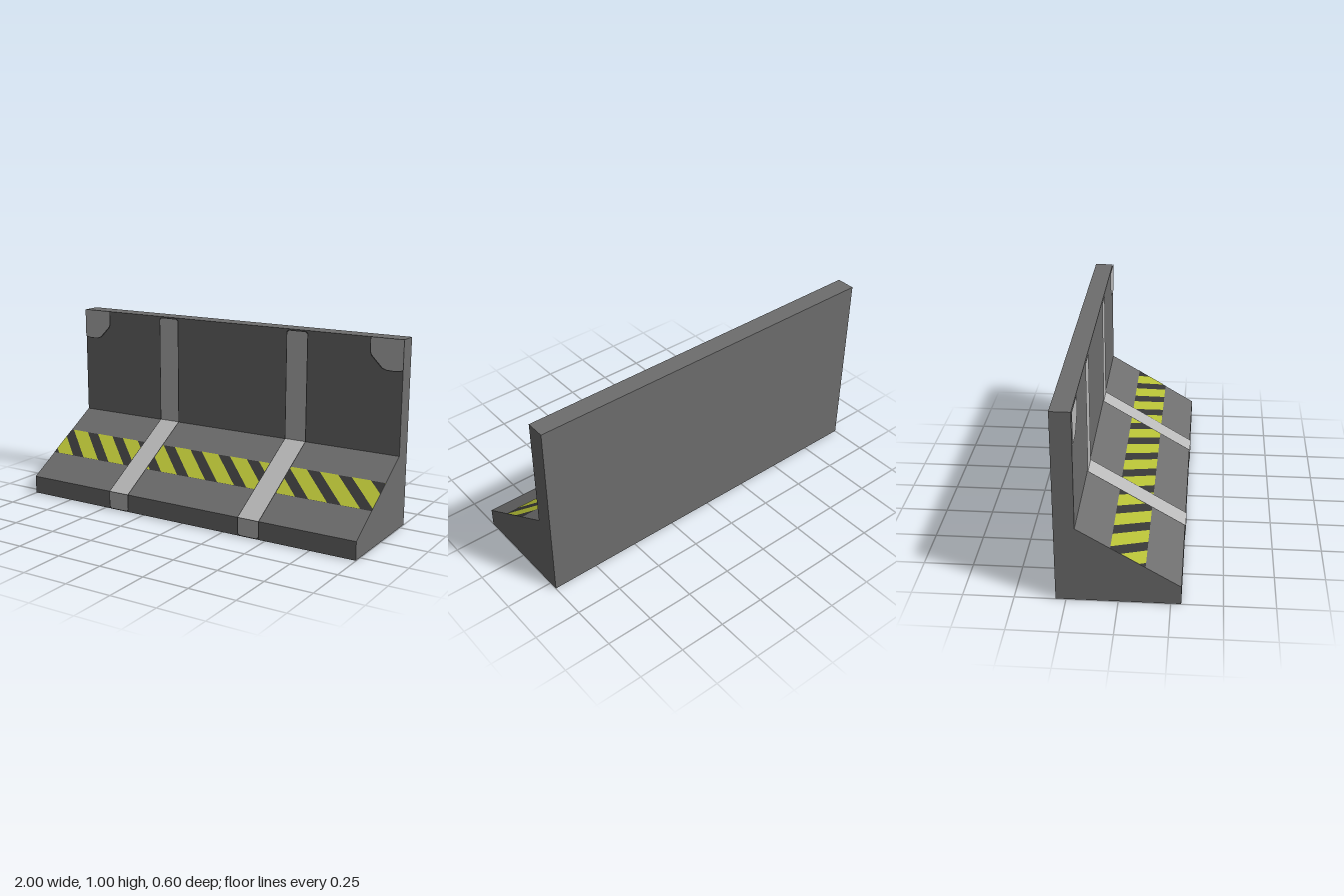
import * as THREE from 'three';

const material = (name, color) => {
  const m = new THREE.MeshStandardMaterial({ color });
  m.name = name;
  return m;
};

// Cuts a polygon at the vertical line x = limit, keeping the inner side
function clip(points, limit) {
  const s = Math.sign(limit), out = [];
  points.forEach((a, i) => {
    const b = points[(i + 1) % points.length];
    const da = limit * s - a[0] * s, db = limit * s - b[0] * s;
    if (da >= 0) out.push(a);
    if (da * db < 0) out.push([limit, a[1] + (b[1] - a[1]) * da / (da - db)]);
  });
  return out;
}

// Each surface maps flat (x, v) to 3D, raised by a small height h
const rampY = z => 0.28 - 0.6 * z;
const surfaces = {
  wall: (x, v, h) => [x, v, -0.2 + h],
  toe: (x, v, h) => [x, v, 0.3 + h],
  ramp: (x, v, h) => [x, rampY(-v) + h * 1.17, -v],
  base: (x, v, h) => [x, 0.003 - h, v],
};

export function createModel() {
  const group = new THREE.Group();
  const concrete = material('concrete grey', 0x6e6e6e);
  const metal = material('light grey', 0xbababa);
  const yellow = material('hazard yellow', 0xb4be35);
  const dark = material('dark grey', 0x363636);

  function plate(name, polygons, surface, h, mat) {
    const shapes = polygons.map(p => new THREE.Shape(p.map(q => new THREE.Vector2(...q))));
    const g = new THREE.ShapeGeometry(shapes);
    const pos = g.attributes.position;
    for (let i = 0; i < pos.count; i++) {
      pos.setXYZ(i, ...surfaces[surface](pos.getX(i), pos.getY(i), h));
    }
    g.computeVertexNormals();
    const mesh = new THREE.Mesh(g, mat);
    mesh.name = name;
    group.add(mesh);
  }

  // Solid body: profile in (z, y) extruded along x
  const profile = [[0.3, 0.003], [0.3, 0.1], [-0.2, 0.4], [-0.2, 1], [-0.3, 1], [-0.3, 0.003]];
  const bodyShape = new THREE.Shape(profile.map(([z, y]) => new THREE.Vector2(-z, y)));
  const bodyGeo = new THREE.ExtrudeGeometry(bodyShape, { depth: 2, bevelEnabled: false });
  bodyGeo.translate(0, 0, -1).rotateY(Math.PI / 2);
  const body = new THREE.Mesh(bodyGeo, concrete);
  body.name = 'barrierBody';
  group.add(body);

  // Hazard band on the ramp and, at the same place, on the underside
  const z0 = -0.035, z1 = 0.13, lean = 0.2, width = 0.105, pitch = 0.18;
  for (const [surface, s] of [['ramp', -1], ['base', 1]]) {
    plate(surface + 'Band', [[[-1, s * z0], [1, s * z0], [1, s * z1], [-1, s * z1]]], surface, 0.001, dark);
    const stripes = [];
    for (let k = -2; k < 12; k++) {
      const x = -0.985 + k * pitch;
      const stripe = [[x, s * z0], [x + width, s * z0], [x + width + lean, s * z1], [x + lean, s * z1]];
      const cut = clip(clip(stripe, -1), 1);
      if (cut.length > 2) stripes.push(cut);
    }
    plate(surface + 'Stripes', stripes, surface, 0.002, yellow);
  }

  // Straps folded over wall, ramp and toe, each with a thin dark border
  const strap = (name, cx, w, end, h, mat) => {
    const a = cx - w, b = cx + w, c = 0.01;
    const top = 1 - end;
    plate(name + 'Wall', [[[a, 0.4], [b, 0.4], [b, top - c], [b - c, top], [a + c, top], [a, top - c]]], 'wall', h, mat);
    plate(name + 'Ramp', [[[a, -0.3 - h], [b, -0.3 - h], [b, 0.2], [a, 0.2]]], 'ramp', h, mat);
    plate(name + 'Toe', [[[a, 0.1], [a, end + c], [a + c, end], [b - c, end], [b, end + c], [b, 0.1]]], 'toe', h, mat);
  };
  for (const side of [-1, 1]) {
    const label = side < 0 ? 'right' : 'left';
    strap(label + 'StrapBorder', side * 0.406, 0.064, 0.004, 0.003, dark);
    strap(label + 'Strap', side * 0.406, 0.059, 0.009, 0.004, metal);

    // Corner plates at the top of the wall
    const corner = d => [[1, 1], [0.824 - d, 1], [0.824 - d, 0.925 - d], [0.832 - d, 0.908 - d],
      [0.89 - d, 0.849 - d], [0.912, 0.84 - d], [0.96, 0.838 - d], [1, 0.845 - d]]
      .map(([x, y]) => [side * x, y]);
    plate(label + 'CornerBorder', [corner(0.005)], 'wall', 0.003, dark);
    plate(label + 'CornerPlate', [corner(0)], 'wall', 0.004, metal);
  }
  return group;
}
